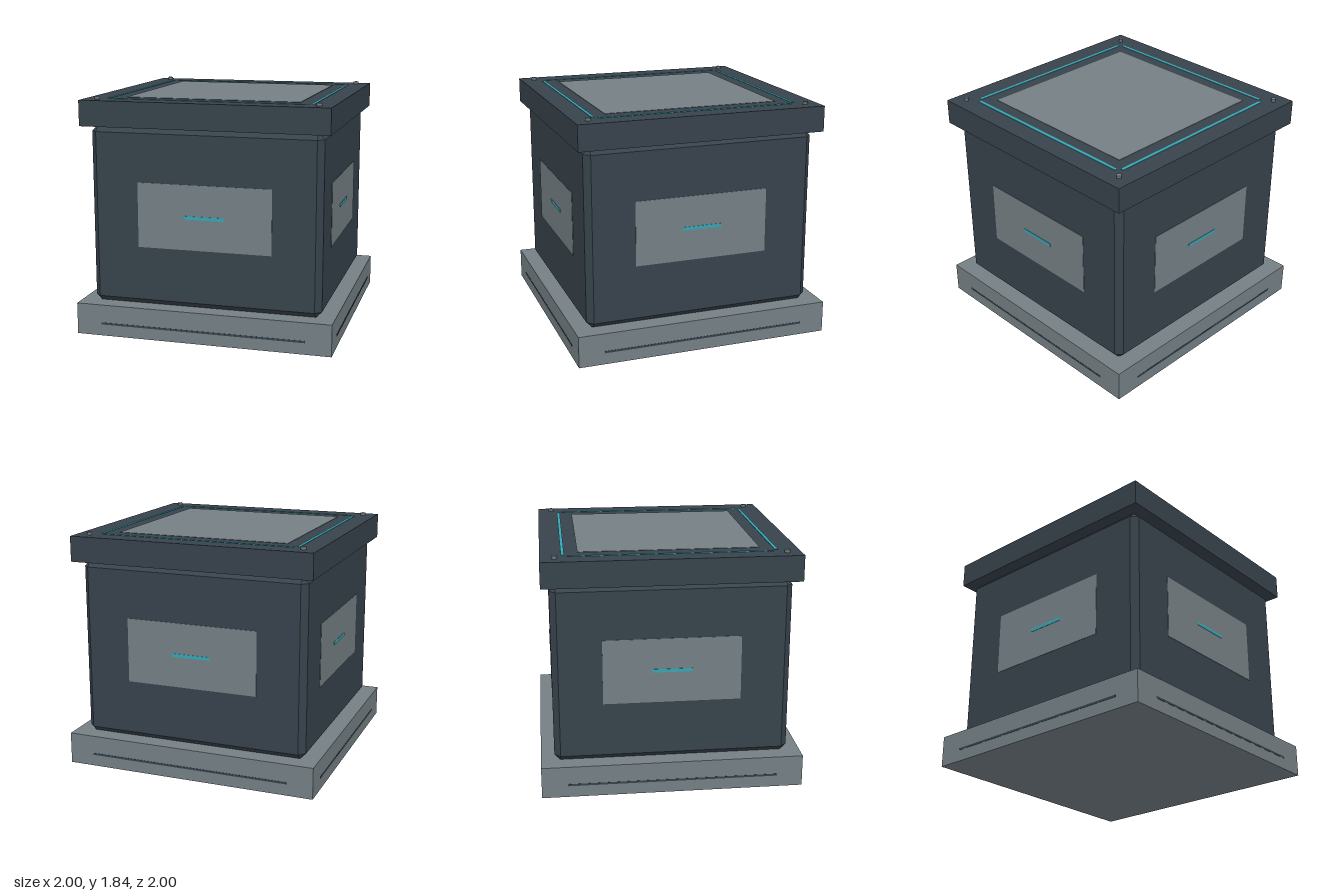
import * as THREE from 'three';
import { ConvexGeometry } from 'three/addons/geometries/ConvexGeometry.js';

const dark = new THREE.MeshStandardMaterial({ color: 0x37424b });
const grey = new THREE.MeshStandardMaterial({ color: 0x747f84 });
const teal = new THREE.MeshStandardMaterial({ color: 0x36a5b4 });

function add(parent, name, geometry, material, x = 0, y = 0, z = 0) {
  const mesh = new THREE.Mesh(geometry, material);
  mesh.name = name;
  mesh.position.set(x, y, z);
  parent.add(mesh);
  return mesh;
}

const box = (w, h, d) => new THREE.BoxGeometry(w, h, d);

// Box with every edge and corner cut by a flat chamfer
function chamferedBox(w, h, d, c) {
  const points = [];
  for (const sx of [-1, 1]) for (const sy of [-1, 1]) for (const sz of [-1, 1]) {
    for (let axis = 0; axis < 3; axis++) {
      const p = [w / 2 - c, h / 2 - c, d / 2 - c];
      p[axis] += c;
      points.push(new THREE.Vector3(sx * p[0], sy * p[1], sz * p[2]));
    }
  }
  return new ConvexGeometry(points);
}

export function createModel() {
  const model = new THREE.Group();
  model.name = 'crate';

  // Plinth, body and overhanging lid
  add(model, 'base', box(1.996, 0.245, 1.996), grey, 0, 0.1225, 0);
  add(model, 'body', chamferedBox(1.79, 1.38, 1.79, 0.047), dark, 0, 0.93, 0);
  add(model, 'lid', box(1.91, 0.196, 1.91), dark, 0, 1.716, 0);

  // The same label panel, light bar and base groove on all four sides
  for (let i = 0; i < 4; i++) {
    const side = new THREE.Group();
    side.name = 'side' + (i + 1);
    side.rotation.y = i * Math.PI / 2;
    add(side, 'sidePanel', box(1.04, 0.5, 0.01), grey, 0, 0.95, 0.893);
    add(side, 'sideLight', box(0.305, 0.026, 0.01), teal, 0, 0.95, 0.896);
    add(side, 'baseGroove', box(1.6, 0.016, 0.01), dark, 0, 0.097, 0.995);
    // Light strip and corner bolt on the lid
    add(side, 'lidLight', box(1.515, 0.01, 0.024), teal, 0, 1.812, 0.787);
    add(side, 'bolt', new THREE.CylinderGeometry(0.022, 0.022, 0.022, 4), grey, 0.848, 1.825, 0.848);
    model.add(side);
  }

  add(model, 'lidPanel', box(1.354, 0.01, 1.354), grey, 0, 1.812, 0);
  return model;
}
